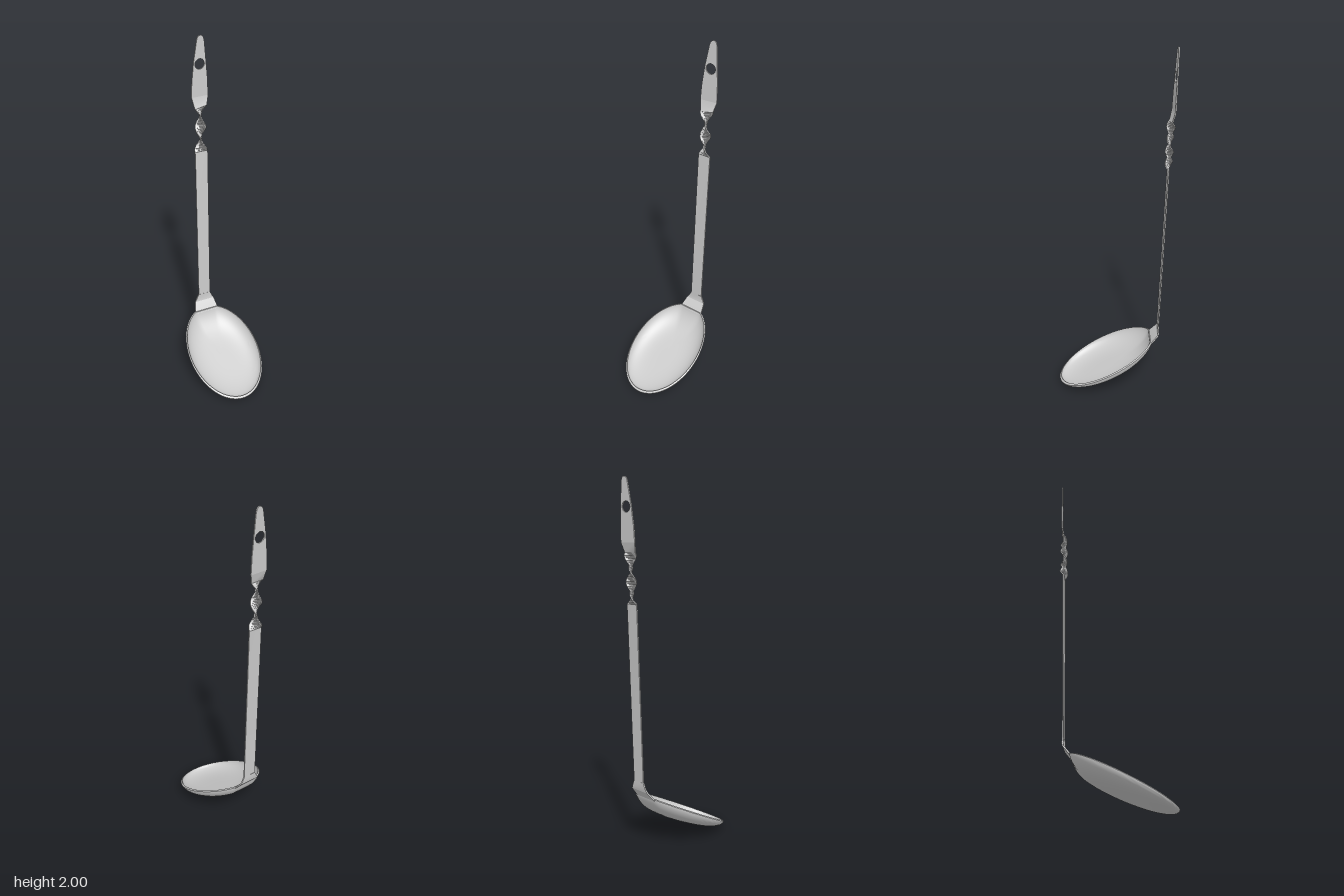
import * as THREE from 'three';
import { toCreasedNormals } from 'three/addons/utils/BufferGeometryUtils.js';

const metal = new THREE.MeshStandardMaterial({ color: 0xcccccc, side: THREE.DoubleSide });

function addMesh(group, name, geometry, crease = 0.6) {
  const mesh = new THREE.Mesh(toCreasedNormals(geometry, crease), metal);
  mesh.name = name;
  group.add(mesh);
}

// Joins closed loops of points into a skin, optionally capping both ends.
function skin(loops, capped) {
  const n = loops[0].length;
  const index = [];
  for (let i = 0; i < loops.length - 1; i++) {
    for (let j = 0; j < n; j++) {
      const a = i * n + j, b = i * n + (j + 1) % n;
      index.push(a, b, b + n, a, b + n, a + n);
    }
  }
  if (capped) {
    const e = (loops.length - 1) * n;
    for (let j = 1; j < n - 1; j++) index.push(0, j + 1, j, e, e + j, e + j + 1);
  }
  const geometry = new THREE.BufferGeometry().setFromPoints(loops.flat());
  geometry.setIndex(index);
  geometry.computeVertexNormals();
  return geometry;
}

// Oval tilted bowl with a straight cut at the back, outer skin then inner skin.
function bowlGeometry() {
  const segments = 72, rings = 20, loops = [];
  const loop = (r, scale, lift) => {
    const points = [];
    for (let j = 0; j < segments; j++) {
      const t = -j / segments * Math.PI * 2;
      const s = Math.sin(t);
      const length = s > 0 ? 0.28 : 0.287;
      const x = 0.221 * Math.cos(t) * r * scale;
      const z = 0.045 + Math.max(s * length, -0.27) * r * scale;
      const depth = 0.076 * Math.pow(Math.max(0, 1 - r ** 4), 0.6) * (1 - 0.3 * s * r);
      points.push(new THREE.Vector3(x, Math.max(0, 0.178 - 0.5 * z - depth + lift), z));
    }
    return points;
  };
  const radius = i => Math.sin(i / rings * Math.PI / 2);
  for (let i = 0; i <= rings; i++) loops.push(loop(radius(i), 1, 0));
  for (let i = rings; i >= 0; i--) loops.push(loop(radius(i), 0.965, 0.006));
  return skin(loops.map(l => l.reverse()), false);
}

// Flat strip swept along sections [y, z, centre x, half width, turn].
function stripGeometry(sections, halfThickness) {
  const centre = sections.map(([y, z, x]) => new THREE.Vector3(x, y, z));
  const loops = sections.map(([, , , half, turn], i) => {
    const tangent = centre[Math.min(i + 1, centre.length - 1)].clone()
      .sub(centre[Math.max(i - 1, 0)]).normalize();
    const across = new THREE.Vector3(Math.cos(turn), 0, Math.sin(turn));
    const normal = across.clone().cross(tangent).normalize().multiplyScalar(halfThickness);
    across.multiplyScalar(half);
    return [[-1, 1], [1, 1], [1, -1], [-1, -1]].map(([u, v]) =>
      centre[i].clone().addScaledVector(across, u).addScaledVector(normal, v));
  });
  return skin(loops, true);
}

// Grip plate with hanging hole, leaned back and turned slightly.
function gripGeometry() {
  const shape = new THREE.Shape();
  shape.moveTo(-0.03, 1.67);
  shape.lineTo(0.07, 1.67);
  shape.lineTo(0.068, 1.77);
  shape.lineTo(0.055, 1.96);
  shape.quadraticCurveTo(0.052, 2, 0.034, 2);
  shape.quadraticCurveTo(0.014, 2, 0.009, 1.97);
  shape.lineTo(-0.012, 1.86);
  shape.lineTo(-0.026, 1.75);
  shape.closePath();
  const hole = new THREE.Path();
  hole.absarc(0.024, 1.85, 0.028, 0, Math.PI * 2, true);
  shape.holes.push(hole);
  const geometry = new THREE.ExtrudeGeometry(shape, { depth: 0.007, bevelEnabled: false, curveSegments: 12 });
  const p = geometry.attributes.position;
  for (let i = 0; i < p.count; i++) {
    const x = p.getX(i), y = p.getY(i);
    p.setZ(i, p.getZ(i) - 0.3165 - (y - 1.67) * 0.027 - (x - 0.02) * 0.07);
  }
  geometry.computeVertexNormals();
  return geometry;
}

export function createModel() {
  const model = new THREE.Group();
  model.name = 'ladle';

  addMesh(model, 'bowl', bowlGeometry(), 0.7);

  // Bent collar flaring from the shaft to the bowl
  addMesh(model, 'collar', stripGeometry([
    [0.277, -0.216, 0.003, 0.07, 0],
    [0.292, -0.226, 0.003, 0.074, 0],
    [0.335, -0.261, 0.006, 0.063, 0],
    [0.352, -0.265, 0.007, 0.053, 0],
    [0.385, -0.265, 0.008, 0.038, 0],
  ], 0.004), 0.3);

  // Straight shaft, one full twist, then widening into the grip
  const sections = [[0.38, -0.265, 0.008, 0.038, 0], [1.34, -0.293, 0.016, 0.038, 0]];
  const steps = 32;
  for (let i = 0; i <= steps; i++) {
    const t = i / steps;
    const turn = t * (Math.PI * 2 - 0.07);
    const half = 0.011 + (0.021 + 0.006 * Math.abs(2 * t - 1)) * Math.abs(Math.cos(turn));
    sections.push([1.355 + 0.265 * t, -0.294 - 0.007 * t, 0.015 + 0.003 * t, half, turn]);
  }
  sections.push([1.672, -0.313, 0.02, 0.05, Math.PI * 2 - 0.07]);
  addMesh(model, 'twistedShaft', stripGeometry(sections, 0.0035));

  addMesh(model, 'grip', gripGeometry());
  return model;
}
